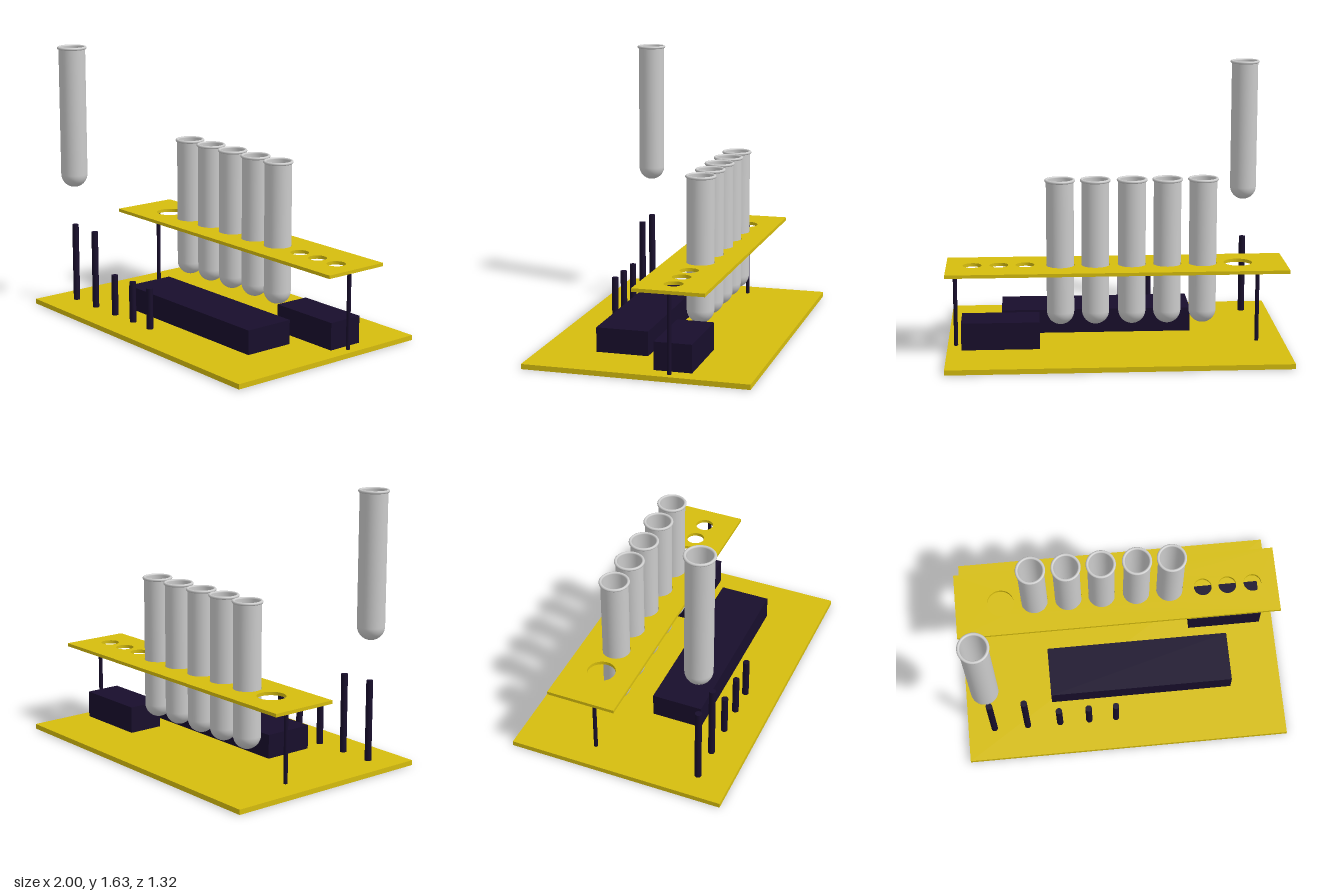
import * as THREE from 'three';

const yellow = new THREE.MeshStandardMaterial({ color: 0xd6bd0e });
const dark = new THREE.MeshStandardMaterial({ color: 0x180e2c });
const glass = new THREE.MeshStandardMaterial({ color: 0xcccccc, side: THREE.DoubleSide });

const ROW_Z = -0.195;
const PEG_Z = 0.46;

export function createModel() {
  const model = new THREE.Group();
  model.name = 'testTubeRack';

  const add = (name, geometry, material, x, y, z) => {
    const mesh = new THREE.Mesh(geometry, material);
    mesh.name = name;
    mesh.position.set(x, y, z);
    model.add(mesh);
    return mesh;
  };
  // Box given by its limits on each axis
  const box = (name, material, [x0, x1], [y0, y1], [z0, z1]) =>
    add(name, new THREE.BoxGeometry(x1 - x0, y1 - y0, z1 - z0), material,
      (x0 + x1) / 2, (y0 + y1) / 2, (z0 + z1) / 2);
  // Upright rod standing on the base
  const rod = (name, x, z, radius, top) =>
    add(name, new THREE.CylinderGeometry(radius, radius, top - 0.03, 20), dark,
      x, (top + 0.03) / 2, z);

  // Base plate and the two solid blocks on it
  box('base', yellow, [-1, 1], [0, 0.03], [-0.66, 0.66]);
  box('frontBlock', dark, [-0.46, 0.68], [0.035, 0.18], [0.015, 0.325]);
  box('backBlock', dark, [0.455, 0.915], [0.035, 0.198], [-0.31, -0.09]);

  // Shelf with six tube holes and three small holes
  const tubeXs = [-0.51, -0.3, -0.092, 0.123, 0.33];
  const shape = new THREE.Shape();
  shape.moveTo(-1, -0.01).lineTo(1, -0.01).lineTo(1, 0.405).lineTo(-1, 0.405).closePath();
  const hole = (x, y, r) => shape.holes.push(new THREE.Path().absarc(x, y, r, 0, Math.PI * 2, true));
  [-0.72, ...tubeXs].forEach((x) => hole(x, -ROW_Z, 0.084));
  [0.537, 0.69, 0.847].forEach((x) => hole(x, 0.185, 0.055));
  const shelfGeometry = new THREE.ExtrudeGeometry(shape, { depth: 0.02, bevelEnabled: false, curveSegments: 24 });
  shelfGeometry.rotateX(-Math.PI / 2);
  add('shelf', shelfGeometry, yellow, 0, 0.495, 0);

  // Thin rods carrying the shelf
  [-0.84, 0.95].forEach((x) => rod('shelfSupport', x, -0.19, 0.012, 0.5));

  // Drying pegs along the front: two tall, three short
  [[-0.835, 0.515], [-0.625, 0.51], [-0.42, 0.28], [-0.235, 0.28], [-0.065, 0.28]]
    .forEach(([x, top]) => rod('peg', x, PEG_Z, 0.02, top));

  // Test tube: outer wall, rolled rim, inner wall
  const height = 0.873, outer = 0.081, inner = 0.072;
  const profile = [];
  const arc = (cx, cy, r, from, to, steps) => {
    for (let i = 0; i <= steps; i++) {
      const a = from + (to - from) * i / steps;
      profile.push(new THREE.Vector2(Math.max(0, cx + r * Math.cos(a)), cy + r * Math.sin(a)));
    }
  };
  arc(0, outer, outer, -Math.PI / 2, 0, 10);
  arc(outer, height - 0.008, 0.009, -Math.PI / 2, Math.PI, 9);
  arc(0, outer, inner, 0, -Math.PI / 2, 10);
  const tubeGeometry = new THREE.LatheGeometry(profile, 32);
  tubeXs.forEach((x) => add('testTube', tubeGeometry, glass, x, 0.155, ROW_Z));
  add('raisedTestTube', tubeGeometry, glass, -0.835, 0.758, PEG_Z);

  return model;
}
